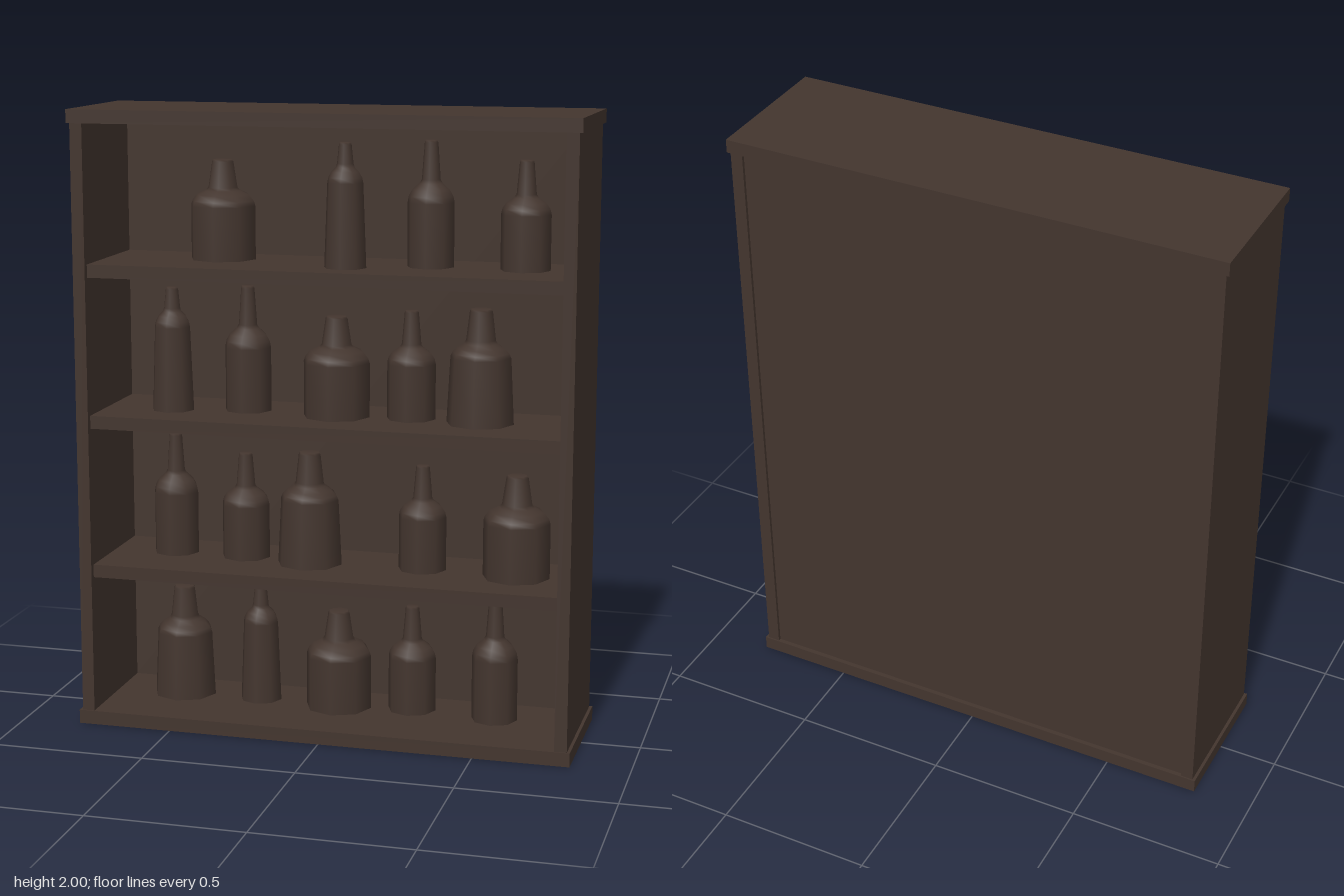
import * as THREE from 'three';

const wood = new THREE.MeshStandardMaterial({ color: 0x43352e });
wood.name = 'darkWood';

// Bottle profiles: [fraction of radius, fraction of height], base to mouth
const profiles = {
  tapered: [[1, 0], [0.9, 0.58], [0.84, 0.62], [0.7, 0.66], [0.5, 0.7], [0.44, 0.73], [0.34, 0.98], [0.3, 1], [0, 1]],
  slim: [[1, 0], [0.85, 0.68], [0.8, 0.72], [0.66, 0.765], [0.45, 0.8], [0.39, 0.83], [0.3, 0.98], [0.26, 1], [0, 1]],
  stout: [[1, 0], [1, 0.54], [0.95, 0.59], [0.8, 0.65], [0.54, 0.69], [0.45, 0.72], [0.33, 0.98], [0.29, 1], [0, 1]],
  round: [[1, 0], [1, 0.51], [0.95, 0.56], [0.8, 0.61], [0.5, 0.66], [0.4, 0.69], [0.29, 0.98], [0.25, 1], [0, 1]],
};

// One row per shelf: [x, z, radius, height, profile]
const rows = [
  { floor: 0.045, bottles: [
    [-0.535, -0.04, 0.105, 0.37, 'tapered'], [-0.27, -0.04, 0.069, 0.39, 'slim'], [0, -0.03, 0.109, 0.325, 'stout'],
    [0.24, -0.06, 0.079, 0.35, 'round'], [0.52, -0.03, 0.075, 0.405, 'round']] },
  { floor: 0.534, bottles: [
    [-0.555, -0.03, 0.075, 0.4, 'round'], [-0.315, -0.03, 0.08, 0.347, 'round'], [-0.09, 0, 0.107, 0.368, 'tapered'],
    [0.28, -0.02, 0.078, 0.341, 'round'], [0.59, 0, 0.108, 0.33, 'stout']] },
  { floor: 1.026, bottles: [
    [-0.54, 0.03, 0.07, 0.4, 'slim'], [-0.302, -0.025, 0.077, 0.405, 'round'], [0, 0, 0.109, 0.322, 'stout'],
    [0.24, -0.02, 0.079, 0.347, 'round'], [0.467, 0, 0.108, 0.363, 'tapered']] },
  { floor: 1.513, bottles: [
    [-0.39, -0.05, 0.108, 0.318, 'stout'], [0.045, 0.065, 0.068, 0.39, 'slim'],
    [0.298, -0.025, 0.075, 0.395, 'round'], [0.6, -0.02, 0.079, 0.34, 'round']] },
];

// Box given by its minimum and maximum corners
function board(name, [x0, y0, z0], [x1, y1, z1]) {
  const mesh = new THREE.Mesh(new THREE.BoxGeometry(x1 - x0, y1 - y0, z1 - z0), wood);
  mesh.position.set((x0 + x1) / 2, (y0 + y1) / 2, (z0 + z1) / 2);
  mesh.name = name;
  return mesh;
}

function bottle(x, y, z, radius, height, type) {
  const points = profiles[type].map(([r, h]) => new THREE.Vector2(r * radius, h * height));
  const mesh = new THREE.Mesh(new THREE.LatheGeometry(points, 8), wood);
  mesh.position.set(x, y, z);
  mesh.name = 'bottle';
  return mesh;
}

export function createModel() {
  const group = new THREE.Group();
  group.name = 'bottleShelf';

  // Carcass
  group.add(
    board('base', [-0.81, 0, -0.235], [0.81, 0.045, 0.235]),
    board('top', [-0.81, 1.957, -0.235], [0.81, 2, 0.235]),
    board('rightSide', [-0.8, 0.045, -0.23], [-0.76, 1.957, 0.23]),
    board('leftSide', [0.76, 0.045, -0.23], [0.8, 1.957, 0.23]),
    board('backPanel', [-0.76, 0.045, -0.22], [0.76, 1.957, -0.18]),
  );

  // Shelves and the bottles standing on them
  rows.forEach(({ floor, bottles }, i) => {
    if (i > 0) group.add(board('shelf', [-0.76, floor - 0.042, -0.18], [0.76, floor, 0.21]));
    const row = new THREE.Group();
    row.name = 'bottleRow';
    for (const [x, z, radius, height, type] of bottles) row.add(bottle(x, floor, z, radius, height, type));
    group.add(row);
  });
  return group;
}
